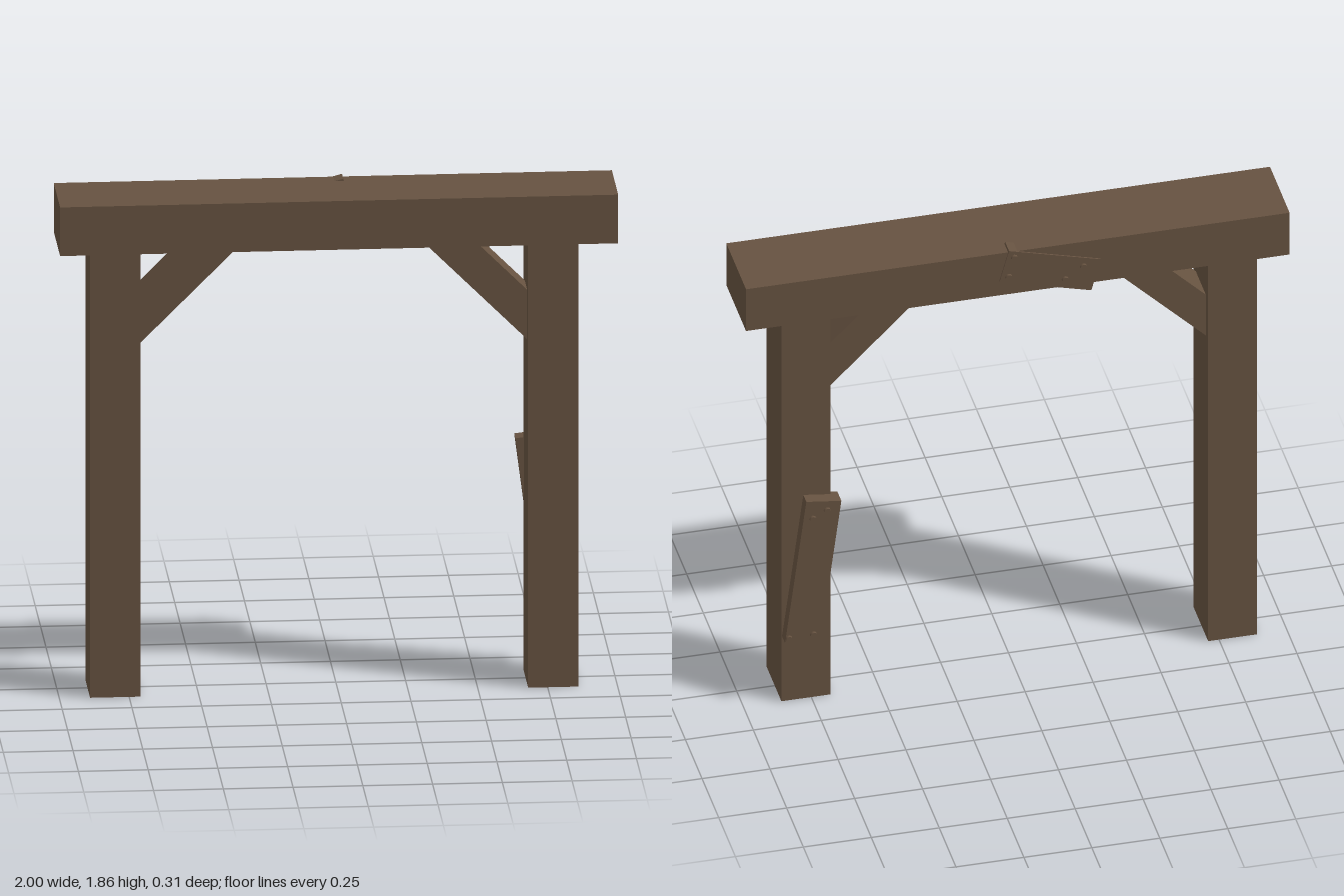
import * as THREE from 'three';

export function createModel() {
  const group = new THREE.Group();
  const wood = new THREE.MeshStandardMaterial({ color: 0x665240 });
  wood.name = 'brownWood';

  const add = (name, geometry, parent = group) => {
    const mesh = new THREE.Mesh(geometry, wood);
    mesh.name = name;
    parent.add(mesh);
    return mesh;
  };

  // Box given by its lower and upper corners
  const block = (name, [x0, y0, z0], [x1, y1, z1]) =>
    add(name, new THREE.BoxGeometry(x1 - x0, y1 - y0, z1 - z0))
      .position.set((x0 + x1) / 2, (y0 + y1) / 2, (z0 + z1) / 2);

  // Main frame
  block('crossBeam', [-1, 1.666, -0.14], [1, 1.848, 0.155]);
  block('rightPost', [-0.89, 0, -0.1], [-0.71, 1.67, 0.12]);
  block('leftPost', [0.68, 0, -0.1], [0.86, 1.67, 0.12]);

  // Diagonal brace: postX is the inner post face, dir points to the middle
  const brace = (name, postX, dir, low, high, z0, z1) => {
    const top = 1.67;
    const shape = new THREE.Shape([
      [postX, low], [postX + dir * (top - low), top],
      [postX + dir * (top - high), top], [postX, high],
    ].map(([x, y]) => new THREE.Vector2(x, y)));
    add(name, new THREE.ExtrudeGeometry(shape, { depth: z1 - z0, bevelEnabled: false }))
      .position.z = z0;
  };
  brace('rightBrace', -0.71, 1, 1.31, 1.488, -0.065, 0.085);
  brace('leftBrace', 0.68, -1, 1.29, 1.475, -0.04, 0.075);

  // Repair plank nailed to the back, tilted by angle, with nail positions
  const plank = (name, x, y, width, height, angle, nails) => {
    const part = new THREE.Group();
    part.name = name;
    group.add(part);
    const board = add(name + 'Board', new THREE.BoxGeometry(width, height, 0.06), part);
    board.position.set(x, y, -0.115);
    board.rotation.z = THREE.MathUtils.degToRad(angle);
    for (const [nx, ny] of nails) {
      const nail = add('nailHead', new THREE.CylinderGeometry(0.013, 0.013, 0.02, 8), part);
      nail.rotation.x = Math.PI / 2;
      nail.position.set(nx, ny, -0.145);
    }
  };
  plank('postPlank', 0.754, 0.577, 0.13, 0.608, 7.4,
    [[0.755, 0.81], [0.703, 0.838], [0.843, 0.302], [0.753, 0.305]]);
  plank('beamPlank', -0.118, 1.746, 0.35, 0.134, 15.2,
    [[0.014, 1.825], [0.035, 1.745], [-0.24, 1.745], [-0.173, 1.7]]);

  return group;
}
